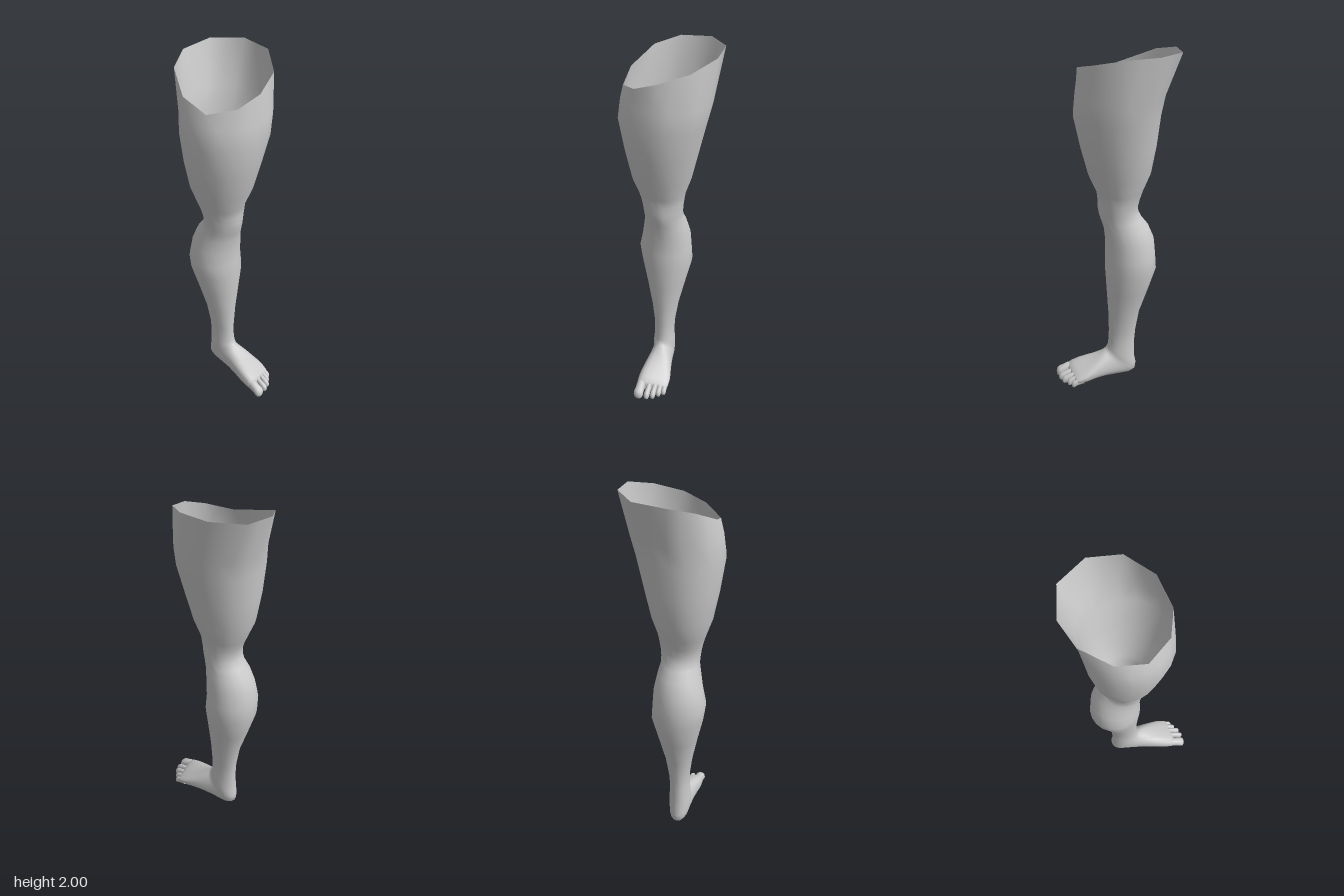
import * as THREE from 'three';

const SIDES = 20;
const material = new THREE.MeshStandardMaterial({ color: 0xcccccc, side: THREE.DoubleSide });

// One cross-section between a front (or top) point and a back (or under) point.
// The x range sets its width; power < 1 squares it, skew slants z and tilt slants y.
function ring([zf, yf, zb, yb, xl, xr, power = 1, skew = 0, tilt = 0]) {
  const points = [];
  const shape = (v) => Math.sign(v) * Math.abs(v) ** power;
  for (let j = 0; j < SIDES; j++) {
    const a = (j / SIDES) * Math.PI * 2;
    const c = shape(Math.cos(a));
    const dx = (shape(Math.sin(a)) * (xr - xl)) / 2;
    points.push(new THREE.Vector3(
      (xl + xr) / 2 + dx,
      (yf + yb) / 2 + (c * (yf - yb)) / 2 - tilt * dx * Math.max(0, c),
      (zf + zb) / 2 + (c * (zf - zb)) / 2 - skew * dx
    ));
  }
  return points;
}

// Skin a list of rings and close the last one.
function loft(name, rings) {
  const positions = [];
  const index = [];
  rings.forEach((r) => r.forEach((p) => positions.push(p.x, p.y, p.z)));
  const at = (i, j) => i * SIDES + (j % SIDES);
  const last = rings.length - 1;
  const centre = new THREE.Vector3();
  rings[last].forEach((p) => centre.addScaledVector(p, 1 / SIDES));
  positions.push(centre.x, centre.y, centre.z);
  for (let j = 0; j < SIDES; j++) {
    for (let i = 0; i < last; i++) {
      index.push(at(i, j), at(i + 1, j), at(i + 1, j + 1));
      index.push(at(i, j), at(i + 1, j + 1), at(i, j + 1));
    }
    index.push(at(last, j), rings.length * SIDES, at(last, j + 1));
  }
  const geometry = new THREE.BufferGeometry();
  geometry.setAttribute('position', new THREE.Float32BufferAttribute(positions, 3));
  geometry.setIndex(index);
  geometry.computeVertexNormals();
  const mesh = new THREE.Mesh(geometry, material);
  mesh.name = name;
  return mesh;
}

// Slanted ten-sided rim of the open thigh, with a midpoint on every edge
function thighRim() {
  const corners = [
    [0.01, 1.91, 0.175], [0.155, 1.955, 0.12], [0.25, 1.995, -0.015], [0.25, 2, -0.18],
    [0.145, 1.99, -0.315], [-0.02, 1.975, -0.33], [-0.14, 1.94, -0.26],
    [-0.215, 1.87, -0.11], [-0.205, 1.83, 0.04], [-0.11, 1.865, 0.15],
  ].map((p) => new THREE.Vector3(...p));
  return corners.flatMap((p, i) => [p, p.clone().lerp(corners[(i + 1) % corners.length], 0.5)]);
}

// Level sections of the leg: height, front z, back z, right x, left x
const LEG = [
  [1.76, 0.187, -0.27, -0.237, 0.23],
  [1.65, 0.195, -0.255, -0.25, 0.205],
  [1.48, 0.16, -0.24, -0.226, 0.165],
  [1.32, 0.12, -0.215, -0.195, 0.128],
  [1.22, 0.077, -0.175, -0.16, 0.095],
  [1.17, 0.067, -0.157, -0.145, 0.088],
  [1.13, 0.061, -0.147, -0.137, 0.083],
  [1.09, 0.058, -0.15, -0.132, 0.08],
  [1.05, 0.052, -0.17, -0.13, 0.08],
  [1.0, 0.04, -0.207, -0.142, 0.092],
  [0.92, 0.032, -0.24, -0.158, 0.108],
  [0.83, 0.03, -0.25, -0.178, 0.114],
  [0.74, 0.034, -0.255, -0.165, 0.12],
  [0.6, 0.026, -0.213, -0.132, 0.088],
  [0.45, 0.017, -0.165, -0.1, 0.055],
  [0.32, 0.014, -0.145, -0.082, 0.036],
  [0.25, 0.016, -0.14, -0.081, 0.032],
];

// Sections fanning round the ankle and running forward to the ball of the foot
const FOOT = [
  [0.02, 0.215, -0.14, 0.17, -0.084, 0.035],
  [0.025, 0.2, -0.142, 0.11, -0.087, 0.037],
  [0.032, 0.192, -0.15, 0.07, -0.086, 0.036],
  [0.038, 0.186, -0.145, 0.03, -0.083, 0.035, 0.92],
  [0.046, 0.18, -0.115, 0.013, -0.082, 0.038, 0.88],
  [0.06, 0.17, -0.04, 0.014, -0.083, 0.044, 0.85],
  [0.09, 0.152, 0.04, 0.02, -0.087, 0.056, 0.82, 0, 0.1],
  [0.13, 0.131, 0.11, 0.02, -0.094, 0.068, 0.8, 0.05, 0.2],
  [0.175, 0.11, 0.17, 0.014, -0.1, 0.078, 0.78, 0.12, 0.25],
  [0.215, 0.09, 0.215, 0.012, -0.1, 0.079, 0.76, 0.2, 0.25],
  [0.24, 0.074, 0.24, 0.014, -0.097, 0.076, 0.76, 0.25, 0.2],
  [0.247, 0.06, 0.247, 0.022, -0.088, 0.068, 0.8, 0.25, 0.15],
];

// Toes from big to little: name, centre x, half width, root z, tip z, height
const TOES = [
  ['bigToe', -0.072, 0.028, 0.22, 0.325, 0.064],
  ['secondToe', -0.024, 0.0165, 0.21, 0.318, 0.054],
  ['middleToe', 0.009, 0.0155, 0.2, 0.304, 0.052],
  ['fourthToe', 0.036, 0.015, 0.19, 0.277, 0.049],
  ['littleToe', 0.061, 0.0145, 0.18, 0.255, 0.046],
];

// Each toe arches down from its knuckle, narrows, then swells into a round pad
function toe([name, x, w, z0, z1, h]) {
  const stages = [
    [0, 0.9, 0.02, 1.35], [0.35, 0.92, 0.016, 1.3], [0.6, 0.9, 0.01, 1.12],
    [0.78, 1, 0.002, 1], [0.9, 0.9, 0, 0.87], [0.97, 0.62, 0.007, 0.72], [1, 0.25, 0.018, 0.52],
  ];
  return loft(name, stages.map(([t, width, low, high]) => {
    const z = z0 + (z1 - z0) * t;
    return ring([z, h * high, z, low, x - w * width, x + w * width, 0.92]);
  }));
}

export function createModel() {
  const model = new THREE.Group();
  model.name = 'leg';

  const rings = [
    thighRim(),
    ...LEG.map(([y, zf, zb, xl, xr]) => ring([zf, y, zb, y, xl, xr])),
    ...FOOT.map(ring),
  ];
  // Kneecap swelling on the front of the knee
  rings.slice(4, 12).forEach((r) => r.forEach((p) => {
    if (p.z > -0.04) {
      p.z += 0.012 * Math.exp(-(((p.x + 0.025) / 0.05) ** 2) - ((p.y - 1.12) / 0.055) ** 2);
    }
  }));
  model.add(loft('legAndFoot', rings));

  const toes = new THREE.Group();
  toes.name = 'toes';
  TOES.forEach((t) => toes.add(toe(t)));
  model.add(toes);
  return model;
}
